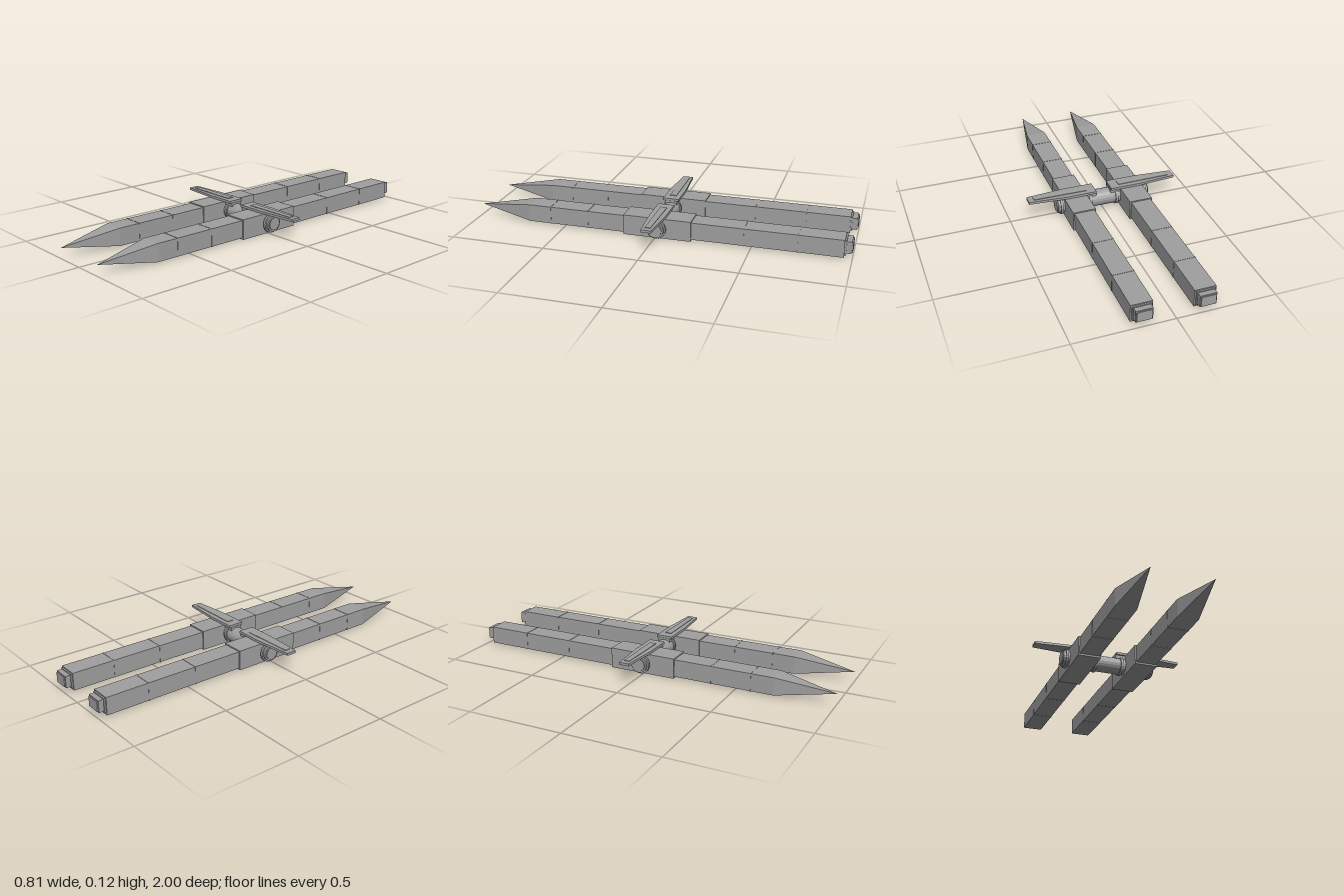
import * as THREE from 'three';

const AXLE_Y = 0.056, AXLE_Z = -0.012;

export function createModel() {
  const model = new THREE.Group();
  model.name = 'twinHullCraft';
  const grey = new THREE.MeshStandardMaterial({ color: 0xa0a0a0 });
  grey.name = 'plain grey';

  // Adds a faceted mesh to a parent
  function add(parent, name, geometry) {
    const faceted = geometry.index ? geometry.toNonIndexed() : geometry;
    faceted.computeVertexNormals();
    const mesh = new THREE.Mesh(faceted, grey);
    mesh.name = name;
    parent.add(mesh);
  }

  // Box given by its lower and upper limits on each axis
  function box(x0, x1, y0, y1, z0, z1) {
    return new THREE.BoxGeometry(x1 - x0, y1 - y0, z1 - z0)
      .translate((x0 + x1) / 2, (y0 + y1) / 2, (z0 + z1) / 2);
  }

  // Cylinder lying along x
  function axle(x0, x1, r, sides = 20) {
    return new THREE.CylinderGeometry(r, r, x1 - x0, sides)
      .rotateZ(Math.PI / 2).translate((x0 + x1) / 2, AXLE_Y, AXLE_Z);
  }

  // Flat plate with an outline in x and z, between two heights
  function plate(points, y0, y1) {
    const shape = new THREE.Shape(points.map(([x, z]) => new THREE.Vector2(x, -z)));
    return new THREE.ExtrudeGeometry(shape, { depth: y1 - y0, bevelEnabled: false })
      .rotateX(-Math.PI / 2).translate(0, y0, 0);
  }

  // Central connecting tube
  add(model, 'connectingTube', axle(-0.1, 0.1, 0.044));

  for (const side of [1, -1]) {
    const half = new THREE.Group();
    half.name = side > 0 ? 'leftHalf' : 'rightHalf';
    model.add(half);
    const hullX = side * 0.155;
    const span = (a, b) => (side > 0 ? [a, b] : [-b, -a]);

    // Long square hull with a pointed nose
    add(half, 'hull', box(hullX - 0.054, hullX + 0.054, 0.009, 0.101, -0.96, 0.7));
    const nose = new THREE.ConeGeometry(Math.SQRT1_2, 0.3, 4, 1, true)
      .rotateY(Math.PI / 4).rotateX(Math.PI / 2)
      .scale(0.108, 0.092, 1).translate(hullX, 0.055, 0.85);
    add(half, 'nose', nose);

    // Stepped tail cap
    add(half, 'tailStep', box(hullX - 0.047, hullX + 0.047, 0.02, 0.095, -0.968, -0.95));
    add(half, 'tailCap', box(hullX - 0.042, hullX + 0.042, 0.028, 0.09, -0.994, -0.96));
    add(half, 'tailPlate', box(hullX - 0.037, hullX + 0.037, 0.033, 0.085, -1, -0.99));

    // Thin seams around the hull
    for (const z of [-0.73, -0.46, 0.37, 0.58]) {
      add(half, 'hullSeam', box(hullX - 0.0555, hullX + 0.0555, 0.0075, 0.1025, z - 0.003, z + 0.003));
    }

    // Thick collar where the tube passes through
    add(half, 'collar', box(hullX - 0.061, hullX + 0.061, 0, 0.107, -0.19, 0.17));

    // Rings, outer hub and end cap
    add(half, 'innerRing', axle(...span(0.066, 0.079), 0.051));
    add(half, 'outerRing', axle(...span(0.225, 0.238), 0.051));
    add(half, 'outerHub', axle(...span(0.2, 0.25), 0.043));
    add(half, 'hubCap', axle(...span(0.245, 0.256), 0.034));

    // Bracket holding the wing on the tube
    add(half, 'wingBracket', box(...span(0.04, 0.098), 0.088, 0.108, -0.045, 0.021));

    // Tapered wing with a low ridge on top
    const outline = [[0.042, 0.031], [0.2, 0.031], [0.405, 0.015],
      [0.405, -0.039], [0.2, -0.055], [0.042, -0.055]];
    add(half, 'wing', plate(outline.map(([x, z]) => [side * x, z]), 0.107, 0.12));
    const ridge = [[0.09, 0.006], [0.375, 0.002], [0.375, -0.026], [0.09, -0.03]];
    add(half, 'wingRidge', plate(ridge.map(([x, z]) => [side * x, z]), 0.118, 0.123));
  }
  return model;
}
